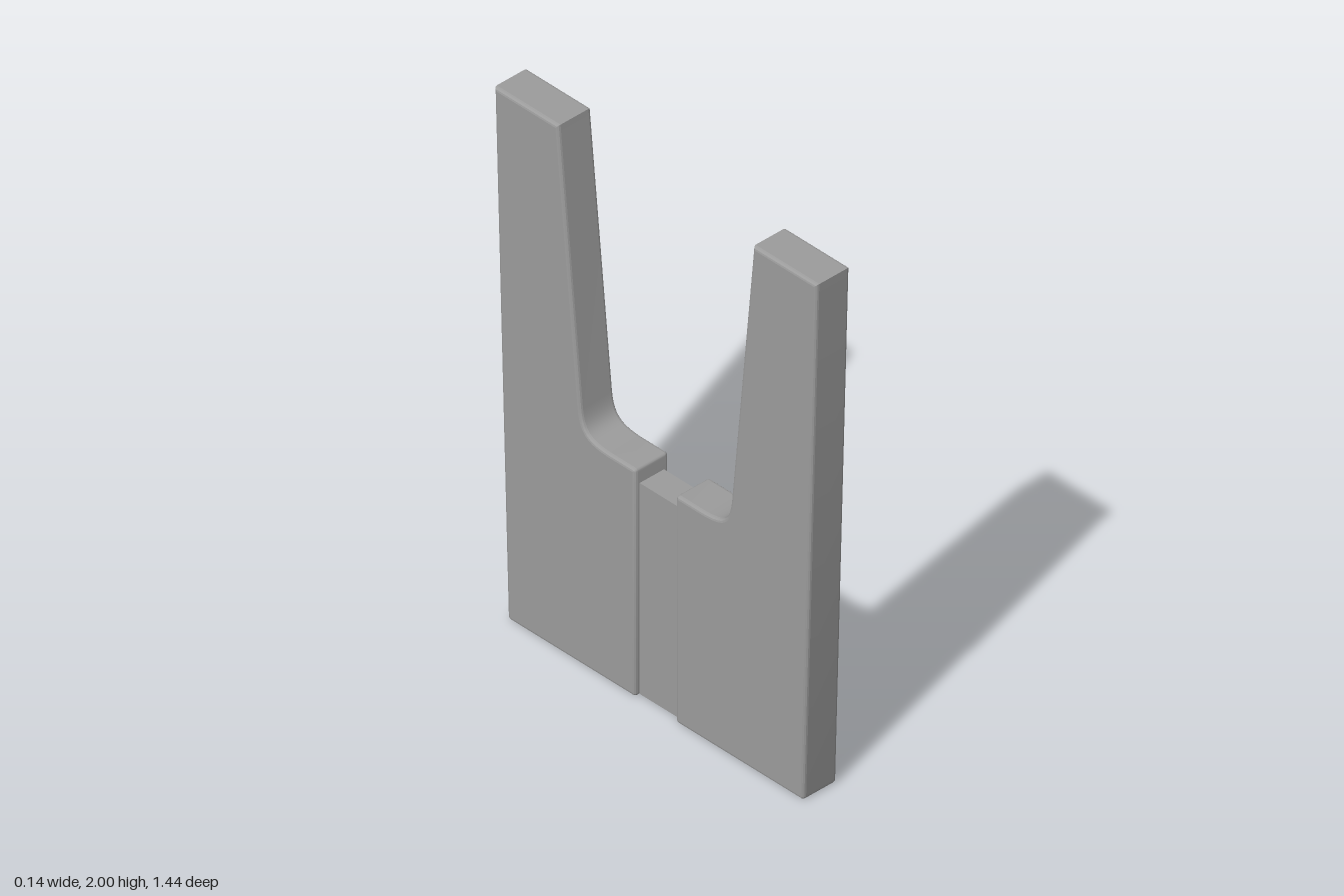
import * as THREE from 'three';
import { toCreasedNormals } from 'three/addons/utils/BufferGeometryUtils.js';

const THICKNESS = 0.143;
const BEVEL = 0.012;

// Side profile of one half: x is distance from the middle, y is up
function panelProfile() {
  const s = new THREE.Shape();
  s.moveTo(0.105, 0);
  s.lineTo(0.645, 0);
  s.quadraticCurveTo(0.66, 0, 0.661, 0.018);
  s.lineTo(0.72, 2);
  s.lineTo(0.435, 2);
  s.lineTo(0.335, 0.97);
  s.bezierCurveTo(0.325, 0.89, 0.3, 0.87, 0.21, 0.867);
  s.lineTo(0.104, 0.867);
  s.quadraticCurveTo(0.09, 0.867, 0.09, 0.853);
  s.lineTo(0.09, 0.015);
  s.quadraticCurveTo(0.09, 0, 0.105, 0);
  return s;
}

function panelGeometry() {
  const geo = new THREE.ExtrudeGeometry(panelProfile(), {
    depth: THICKNESS - 2 * BEVEL,
    bevelEnabled: true,
    bevelSize: BEVEL,
    bevelThickness: BEVEL,
    bevelOffset: -BEVEL,
    bevelSegments: 3,
    curveSegments: 16,
  });
  geo.translate(0, 0, -THICKNESS / 2 + BEVEL);
  geo.rotateY(-Math.PI / 2); // profile x becomes +z
  // Smooths the curved fillets while the broad faces stay flat
  return toCreasedNormals(geo, 0.2);
}

export function createModel() {
  const model = new THREE.Group();
  const material = new THREE.MeshStandardMaterial({ color: 0x9c9c9c });

  // Two matching upright panels, front and back
  const geo = panelGeometry();
  ['frontPanel', 'backPanel'].forEach((name, i) => {
    const panel = new THREE.Mesh(geo, material);
    panel.name = name;
    panel.rotation.y = i * Math.PI;
    model.add(panel);
  });

  // Thinner web joining the panels
  const web = new THREE.Mesh(new THREE.BoxGeometry(0.104, 0.805, 0.2), material);
  web.name = 'connectingWeb';
  web.position.y = 0.005 + 0.805 / 2;
  model.add(web);

  return model;
}
